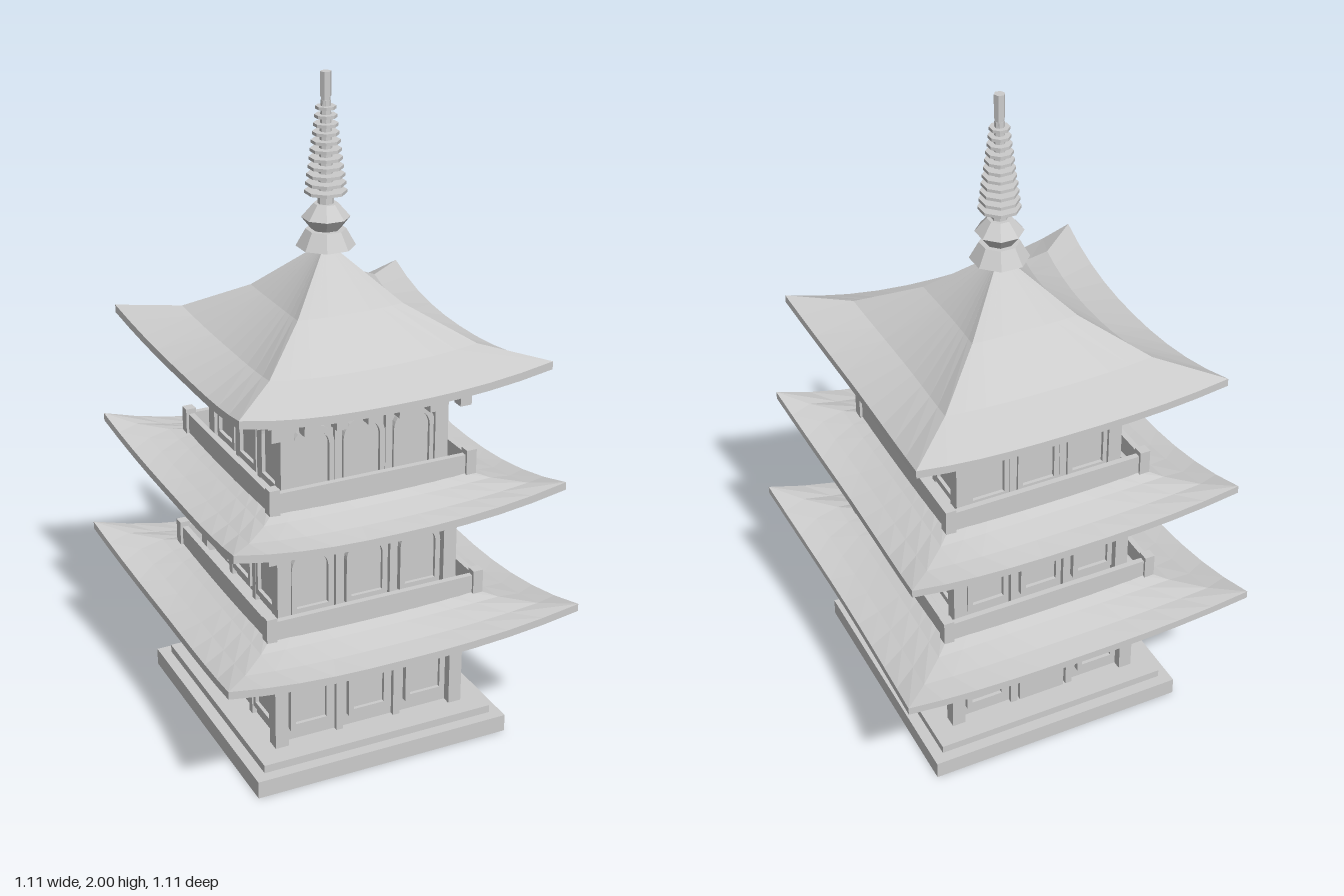
import * as THREE from 'three';

const mat = new THREE.MeshStandardMaterial({ color: 0xcccccc, flatShading: true });

function add(parent, geo, name, x = 0, y = 0, z = 0) {
  const m = new THREE.Mesh(geo, mat);
  m.name = name;
  m.position.set(x, y, z);
  parent.add(m);
  return m;
}

// Box given by full width, bottom, top and depth
function block(parent, name, w, y0, y1, d, x = 0, z = 0) {
  return add(parent, new THREE.BoxGeometry(w, y1 - y0, d), name, x, (y0 + y1) / 2, z);
}

// Round-headed outline standing on y = 0
function archPath(target, r, y0, h) {
  target.moveTo(-r, y0);
  target.lineTo(r, y0);
  target.lineTo(r, h - r);
  target.absarc(0, h - r, r, 0, Math.PI, false);
  target.lineTo(-r, y0);
  return target;
}

function extrude(shape, depth) {
  return new THREE.ExtrudeGeometry(shape, { depth, bevelEnabled: false, curveSegments: 8 });
}

function archWindow(parent, x, y, z, h) {
  const frame = archPath(new THREE.Shape(), 0.066, -0.02, h + 0.018);
  frame.holes.push(archPath(new THREE.Path(), 0.05, 0, h));
  add(parent, extrude(frame, 0.018), 'windowFrame', x, y, z);
  add(parent, extrude(archPath(new THREE.Shape(), 0.05, 0, h), 0.007), 'windowPane', x, y, z);
}

// Square curved roof shell: eaves sweep out and up toward the corners
function roofGeometry({ inner, mid, corner, y, rise, lift, power }) {
  const thick = 0.024, steps = 3, seg = 10, pos = [], idx = [];
  const profile = [];
  for (let i = 0; i <= steps; i++) profile.push([i / steps, 0]);
  for (let i = steps; i >= 0; i--) profile.push([i / steps, thick]);
  const n = profile.length, cols = seg * 4;
  for (let c = 0; c < cols; c++) {
    const a = Math.floor(c / seg) * Math.PI / 2;
    const u = (c % seg) / seg * 2 - 1;
    for (const [t, drop] of profile) {
      const out = inner + (mid - inner) * t + (corner - mid) * t * u * u;
      const along = u * (inner + (corner - inner) * t);
      pos.push(
        along * Math.cos(a) + out * Math.sin(a),
        y + rise * (1 - t) ** power + lift * t ** 1.5 * Math.abs(u) ** 2.3 - drop,
        -along * Math.sin(a) + out * Math.cos(a));
    }
  }
  for (let c = 0; c < cols; c++) {
    const d = (c + 1) % cols;
    for (let i = 0; i < n; i++) {
      const j = (i + 1) % n;
      idx.push(c * n + i, c * n + j, d * n + j, c * n + i, d * n + j, d * n + i);
    }
  }
  const g = new THREE.BufferGeometry();
  g.setAttribute('position', new THREE.Float32BufferAttribute(pos, 3));
  g.setIndex(idx);
  const flat = g.toNonIndexed();
  flat.computeVertexNormals();
  return flat;
}

// w: half width, y0..y1: wall, slab: half width of the beam plate, sill: pane bottom
const storeys = [
  { w: 0.31, y0: 0.08, y1: 0.36, slab: 0.375, top: 0.4, sill: 0.14, gap: 0.19, door: true,
    roof: { inner: 0.3, mid: 0.523, corner: 0.555, y: 0.42, rise: 0.06, lift: 0.063, power: 1.7 } },
  { w: 0.29, y0: 0.45, y1: 0.755, slab: 0.352, top: 0.787, sill: 0.515, gap: 0.175, rail: 0.35,
    railTop: 0.528, roof: { inner: 0.28, mid: 0.485, corner: 0.515, y: 0.807, rise: 0.06, lift: 0.063, power: 1.7 } },
  { w: 0.265, y0: 0.835, y1: 1.12, slab: 0.33, top: 1.153, sill: 0.885, gap: 0.16, rail: 0.327,
    railTop: 0.917, roof: { inner: 0.008, mid: 0.445, corner: 0.475, y: 1.18, rise: 0.325, lift: 0.055, power: 1.7 } },
];

function buildStorey(s, level) {
  const g = new THREE.Group();
  g.name = 'storey' + level;
  const wall = s.w - 0.028, side = s.slab - 0.035;
  block(g, 'walls', wall * 2, s.y0, s.y1, wall * 2);
  block(g, 'beamPlate', s.slab * 2, s.y1, s.top, s.slab * 2);
  add(g, roofGeometry(s.roof), 'roof');
  if (s.rail) block(g, 'balconyFloor', s.rail * 2 - 0.04, s.y0, s.y0 + 0.015, s.rail * 2 - 0.04);

  for (let k = 0; k < 4; k++) {
    const f = new THREE.Group();
    f.name = 'face';
    f.rotation.y = k * Math.PI / 2;
    g.add(f);
    // Corner post, slender columns and top beam
    block(f, 'cornerPost', 0.042, s.y0, s.y1, 0.042, s.w - 0.021, s.w - 0.021);
    for (const x of [-0.5, 0.5]) block(f, 'column', 0.022, s.y0, s.y1, 0.03, x * s.gap, wall);
    block(f, 'topBeam', s.w * 2 - 0.08, s.y1 - 0.025, s.y1, 0.03, 0, wall + 0.005);
    // Openings, with a plain door at the back of the ground floor
    for (const i of [-1, 0, 1]) {
      if (s.door && k === 2 && i === 0) block(f, 'door', 0.15, s.y0, 0.32, 0.03, 0, wall);
      else archWindow(f, i * s.gap, s.sill, wall, 0.17);
    }
    // Brackets under the beam plate
    for (let i = -2; i <= 2; i++) {
      block(f, 'bracket', 0.034, s.y1 - 0.025, s.y1, side - wall + 0.02, i * 0.098, (side + wall) / 2 + 0.01);
      block(f, 'bracketBlock', 0.034, s.y1 - 0.05, s.y1 - 0.02, 0.036, i * 0.098, side);
    }
    block(f, 'cornerBracket', 0.036, s.y1 - 0.05, s.y1, 0.036, side, side);
    // Balcony railing
    if (s.rail) {
      block(f, 'railing', s.rail * 2 - 0.05, s.y0, s.railTop, 0.018, 0, s.rail - 0.017);
      block(f, 'railingPost', 0.032, s.y0, s.railTop + 0.016, 0.032, s.rail - 0.016, s.rail - 0.016);
    }
  }
  return g;
}

// Octagonal finial with a stack of tapering rings
function buildSpire() {
  const g = new THREE.Group();
  g.name = 'spire';
  const cyl = (name, top, bottom, y0, y1, n = 8) => {
    const m = add(g, new THREE.CylinderGeometry(top, bottom, y1 - y0, n), name, 0, (y0 + y1) / 2, 0);
    m.rotation.y = Math.PI / 8;
  };
  cyl('spireBase', 0.058, 0.086, 1.5, 1.55);
  cyl('spireBowl', 0.07, 0.042, 1.55, 1.585);
  cyl('spireCap', 0.035, 0.07, 1.585, 1.625);
  cyl('rod', 0.013, 0.016, 1.6, 2, 6);
  for (let i = 0; i < 11; i++) {
    const y = 1.655 + i * 0.024, r = 0.061 - i * 0.0032;
    cyl('ring', r, r, y, y + 0.009);
  }
  cyl('ringCore', 0.014, 0.024, 1.62, 1.92);
  cyl('tip', 0.016, 0.016, 1.93, 2, 6);
  return g;
}

export function createModel() {
  const model = new THREE.Group();
  model.name = 'pagoda';
  block(model, 'plinth', 0.82, 0, 0.055, 0.82);
  block(model, 'plinthStep', 0.75, 0.055, 0.08, 0.75);
  storeys.forEach((s, i) => model.add(buildStorey(s, i + 1)));
  model.add(buildSpire());
  return model;
}
